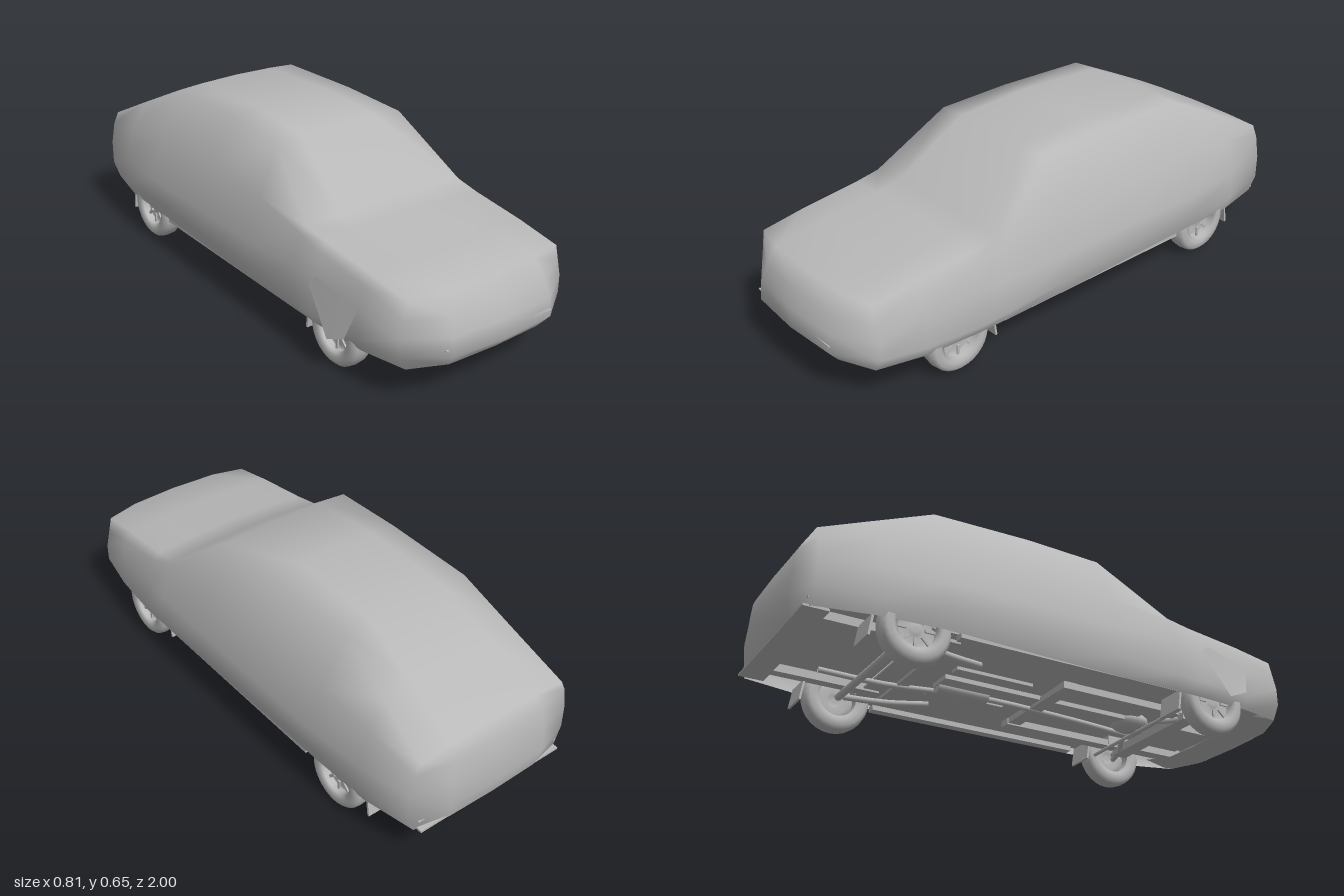
import * as THREE from 'three';
import { mergeGeometries, mergeVertices } from 'three/addons/utils/BufferGeometryUtils.js';

const grey = new THREE.MeshStandardMaterial({ color: 0xb8b8b8, side: THREE.DoubleSide });
grey.name = 'plain grey';

// Surface through a grid of points, rows by columns
function sheet(rows) {
  const n = rows[0].length, index = [];
  for (let r = 0; r < rows.length - 1; r++) {
    for (let c = 0; c < n - 1; c++) {
      const a = r * n + c, b = a + n;
      index.push(a, a + 1, b, a + 1, b + 1, b);
    }
  }
  const g = new THREE.BufferGeometry();
  g.setAttribute('position', new THREE.Float32BufferAttribute(rows.flat(2), 3));
  g.setIndex(index);
  return g;
}

// Body sections: z, bow, top centre y, then [x, y] for shoulder, belt, waist, sill crease, bottom
const sections = [
  [0.89, 0.035, 0.367, [0.32, 0.36], [0.335, 0.30], [0.35, 0.24], [0.35, 0.175], [0.32, 0.125]],
  [0.72, 0, 0.395, [0.325, 0.385], [0.35, 0.35], [0.37, 0.27], [0.38, 0.165], [0.355, 0.12]],
  [0.50, 0, 0.425, [0.33, 0.408], [0.355, 0.38], [0.385, 0.29], [0.4, 0.165], [0.37, 0.12]],
  [0.40, 0, 0.44, [0.335, 0.422], [0.355, 0.4], [0.39, 0.29], [0.4, 0.17], [0.37, 0.12]],
  [0.14, 0, 0.623, [0.27, 0.615], [0.345, 0.44], [0.398, 0.29], [0.395, 0.18], [0.37, 0.12]],
  [-0.15, 0, 0.648, [0.265, 0.626], [0.35, 0.44], [0.4, 0.29], [0.395, 0.19], [0.37, 0.125]],
  [-0.52, 0, 0.63, [0.26, 0.62], [0.35, 0.44], [0.4, 0.29], [0.392, 0.2], [0.37, 0.135]],
  [-0.75, 0, 0.523, [0.285, 0.51], [0.345, 0.42], [0.383, 0.29], [0.38, 0.18], [0.36, 0.13]],
  [-0.95, 0, 0.422, [0.31, 0.412], [0.33, 0.37], [0.345, 0.29], [0.345, 0.2], [0.32, 0.13]],
];

// Full ring from the right bottom, over the top, to the left bottom (13 points)
function ring([z, bow, top, ...side]) {
  const [ex, ey] = side[0];
  const half = [[ex * 0.6, top * 0.64 + ey * 0.36, z + bow * 0.8], ...side.map(([x, y]) => [x, y, z])];
  const right = half.map(([x, y, d]) => [-x, y, d]).reverse();
  return [...right, [0, top, z + bow], ...half];
}

// End face spanning the two sides of an end ring
function endFace(r, zs) {
  return [0, 1, 2, 3, 4].map((i) => {
    if (i === 0) return r.slice(4, 9);
    const a = r[4 - i], b = r[8 + i], z = zs[i];
    const zh = a[2] + (z - a[2]) * 0.88;
    return [a, [a[0] * 0.6, a[1], zh], [0, a[1], z], [b[0] * 0.6, b[1], zh], b];
  });
}

function bodyGeometry() {
  const rings = sections.map(ring);
  const nose = endFace(rings[0], [0, 0.965, 0.99, 1.0, 0.955]).reverse();
  const tail = endFace(rings[rings.length - 1], [0, -0.98, -0.99, -1.0, -0.98]);
  const g = mergeVertices(mergeGeometries([sheet(rings), sheet(nose), sheet(tail)]), 1e-4);
  g.computeVertexNormals();
  return g;
}

export function createModel() {
  const car = new THREE.Group();
  car.name = 'car';

  function add(name, geometry, x = 0, y = 0, z = 0, parent = car) {
    const m = new THREE.Mesh(geometry, grey);
    m.name = name;
    m.position.set(x, y, z);
    parent.add(m);
    return m;
  }
  const box = (name, w, h, d, x, y, z) => add(name, new THREE.BoxGeometry(w, h, d), x, y, z);
  function tube(name, points, radius) {
    const curve = new THREE.CatmullRomCurve3(points.map((p) => new THREE.Vector3(...p)));
    return add(name, new THREE.TubeGeometry(curve, 16, radius, 8), 0, 0, 0);
  }

  add('bodyShell', bodyGeometry());

  // Narrow slots across the nose
  box('noseSlot', 0.2, 0.006, 0.006, 0.11, 0.2, 0.985);
  box('noseSlotSmall', 0.03, 0.005, 0.006, -0.22, 0.2, 0.974);

  // Loose wing panel over the right front wheel
  const flap = new THREE.BufferGeometry();
  flap.setAttribute('position', new THREE.Float32BufferAttribute([
    -0.375, 0.275, 0.72, -0.392, 0.31, 0.56, -0.393, 0.315, 0.53,
    -0.402, 0.28, 0.5, -0.412, 0.13, 0.61, -0.405, 0.165, 0.69], 3));
  flap.setIndex([0, 4, 1, 1, 4, 2, 2, 4, 3, 0, 5, 4]);
  flap.computeVertexNormals();
  add('wingFlap', flap);

  // Wheels: tyre with a recessed rim and hub
  const tyre = [[0.07, -0.03], [0.085, -0.038], [0.108, -0.038], [0.121, -0.025], [0.124, 0],
    [0.121, 0.025], [0.108, 0.038], [0.085, 0.038], [0.07, 0.03], [0.07, -0.03]];
  const tyreGeo = new THREE.LatheGeometry(tyre.map((p) => new THREE.Vector2(...p)), 28);
  const rim = [[0, 0.012], [0.022, 0.014], [0.028, 0.004], [0.05, 0.012], [0.071, 0.006], [0.075, 0.03]];
  const rimGeo = new THREE.LatheGeometry(rim.map((p) => new THREE.Vector2(...p)), 24);
  for (const [label, z] of [['front', 0.58], ['rear', -0.61]]) {
    for (const s of [-1, 1]) {
      const wheel = new THREE.Group();
      wheel.name = label + (s > 0 ? 'LeftWheel' : 'RightWheel');
      wheel.position.set(s * 0.33, 0.124, z);
      wheel.rotation.z = -s * Math.PI / 2;
      car.add(wheel);
      add('tyre', tyreGeo, 0, 0, 0, wheel);
      add('rim', rimGeo, 0, 0, 0, wheel);
      for (let i = 0; i < 8; i++) {
        const a = i * Math.PI / 4;
        const spoke = add('spoke', new THREE.BoxGeometry(0.035, 0.006, 0.01),
          Math.cos(a) * 0.05, 0.015, Math.sin(a) * 0.05, wheel);
        spoke.rotation.y = -a;
      }
      // Mud flap behind each wheel
      const mud = box(label + 'MudFlap', 0.11, 0.075, 0.008, s * 0.297, 0.1, z - 0.155);
      mud.rotation.x = 0.15;
    }
  }

  // Floor pan with long ribs, sills and a central tunnel
  box('floorPan', 0.7, 0.006, 1.0, 0, 0.142, -0.05);
  box('rearFloor', 0.62, 0.006, 0.42, 0, 0.165, -0.75);
  box('frontFloor', 0.6, 0.006, 0.42, 0, 0.16, 0.64);
  box('tunnel', 0.1, 0.025, 0.75, 0, 0.135, 0.02);
  for (const s of [-1, 1]) {
    box('sill', 0.035, 0.02, 0.86, s * 0.353, 0.13, -0.03);
    box('chassisRail', 0.045, 0.025, 0.5, s * 0.2, 0.118, 0.27);
    box('floorRib', 0.04, 0.014, 0.3, s * 0.11, 0.134, -0.2);
    box('rearRail', 0.04, 0.03, 0.42, s * 0.23, 0.147, -0.7);
    box('frontRail', 0.05, 0.035, 0.35, s * 0.2, 0.13, 0.65);
    tube('trailingArm', [[s * 0.2, 0.125, -0.3], [s * 0.24, 0.115, -0.45], [s * 0.28, 0.12, -0.6]], 0.012);
    tube('suspensionArm', [[s * 0.12, 0.11, 0.5], [s * 0.2, 0.1, 0.54], [s * 0.3, 0.105, 0.58]], 0.011);
  }

  // Cross members, axles and running gear
  box('middleCrossMember', 0.44, 0.022, 0.05, 0, 0.122, 0.05);
  box('rearCrossMember', 0.62, 0.025, 0.04, 0, 0.14, -0.45);
  box('tailCrossMember', 0.6, 0.03, 0.03, 0, 0.148, -0.9);
  box('frontCrossMember', 0.46, 0.03, 0.06, 0, 0.105, 0.56);
  tube('rearAxle', [[-0.3, 0.124, -0.61], [0, 0.12, -0.61], [0.3, 0.124, -0.61]], 0.014);
  tube('frontAxle', [[-0.3, 0.124, 0.58], [0, 0.124, 0.58], [0.3, 0.124, 0.58]], 0.012);
  tube('steeringLink', [[-0.28, 0.1, 0.48], [0, 0.095, 0.47], [0.28, 0.1, 0.48]], 0.007);
  tube('exhaustPipe', [[0.06, 0.11, 0.5], [0.04, 0.115, 0.2], [0.03, 0.115, -0.2],
    [0.12, 0.13, -0.5], [0.14, 0.14, -0.75]], 0.011);
  const silencer = add('silencer', new THREE.CylinderGeometry(0.025, 0.025, 0.2, 14), 0.03, 0.125, -0.25);
  silencer.rotation.x = Math.PI / 2;
  const sump = add('sump', new THREE.SphereGeometry(0.065, 16, 10), 0, 0.135, 0.45);
  sump.scale.set(1, 0.6, 1.2);
  box('engineBlock', 0.2, 0.05, 0.16, 0, 0.13, 0.66);

  // Sloping tray under the nose
  const tray = sheet([
    [[-0.32, 0.125, 0.89], [-0.19, 0.125, 0.947], [0, 0.125, 0.955], [0.19, 0.125, 0.947], [0.32, 0.125, 0.89]],
    [[-0.32, 0.125, 0.85], [-0.19, 0.105, 0.87], [0, 0.095, 0.87], [0.19, 0.105, 0.87], [0.32, 0.125, 0.85]],
    [[-0.29, 0.13, 0.74], [-0.17, 0.105, 0.76], [0, 0.1, 0.76], [0.17, 0.105, 0.76], [0.29, 0.13, 0.74]],
  ].reverse().map((row) => row.slice().reverse()).map((row) => row.map((p) => [-p[0], p[1], p[2]])));
  tray.computeVertexNormals();
  add('noseTray', tray);

  // Flat valance closing the tail underneath
  box('tailValance', 0.62, 0.008, 0.09, 0, 0.134, -0.93);

  return car;
}
